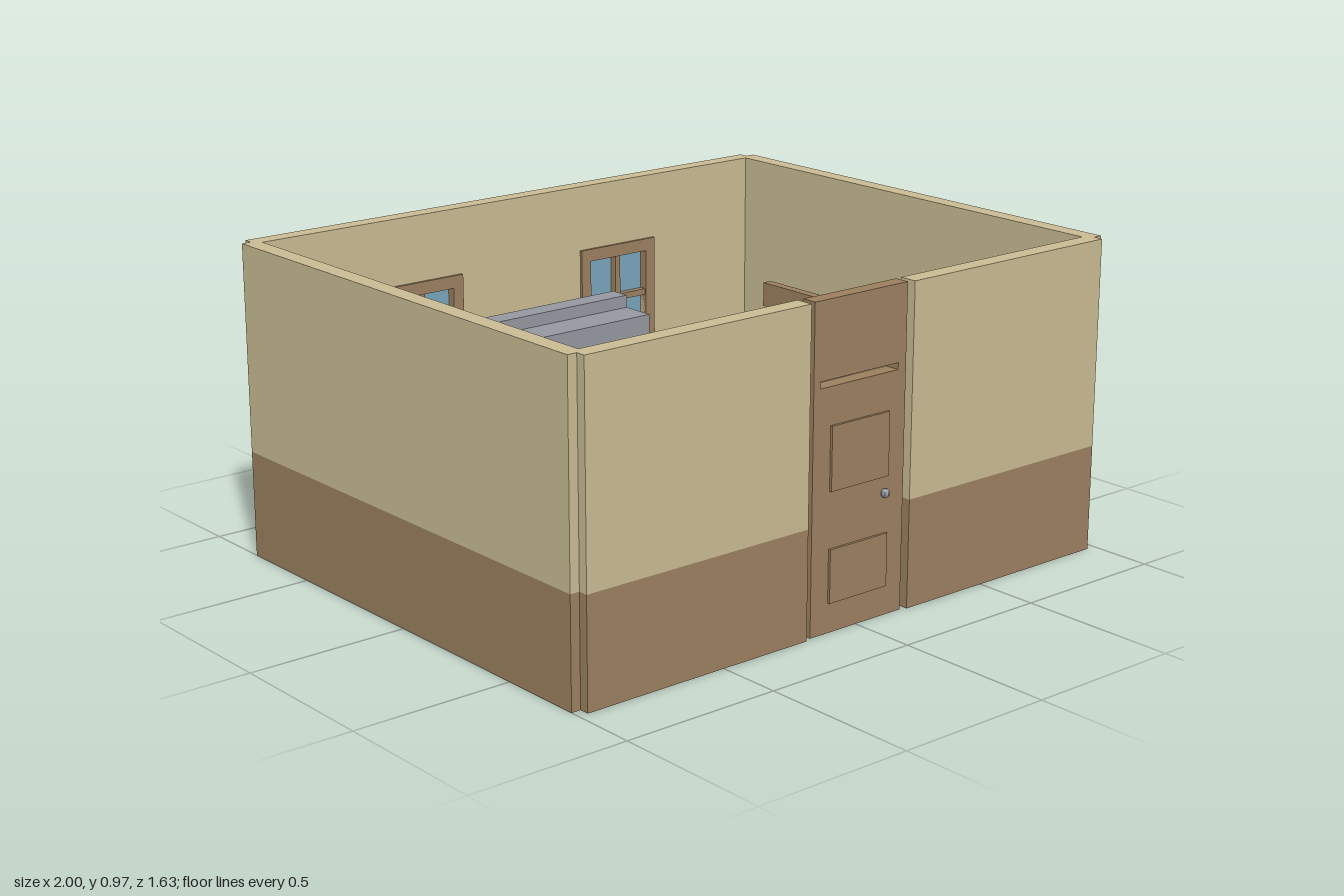
import * as THREE from 'three';

const mat = (name, color, flat = false) => {
  const m = new THREE.MeshStandardMaterial({ color, flatShading: flat });
  m.name = name;
  return m;
};

export function createModel() {
  const plaster = mat('plaster', 0xc8ba92);
  const wood = mat('wood', 0x9a7f5e);
  const stone = mat('stone', 0x94979f, true);
  const blue = mat('blue', 0x78a4bc);
  const root = new THREE.Group();

  const add = (parent, name, geo, material, x = 0, y = 0, z = 0) => {
    const m = new THREE.Mesh(geo, material);
    m.name = name;
    m.position.set(x, y, z);
    parent.add(m);
    return m;
  };
  // Box given by its limits on each axis
  const box = (parent, name, material, x0, x1, y0, y1, z0, z1) =>
    add(parent, name, new THREE.BoxGeometry(x1 - x0, y1 - y0, z1 - z0), material,
      (x0 + x1) / 2, (y0 + y1) / 2, (z0 + z1) / 2);
  const group = (name) => {
    const g = new THREE.Group();
    g.name = name;
    root.add(g);
    return g;
  };
  // Flat panel with rectangular holes, each rectangle as [x0, x1, y0, y1]
  const panel = (outer, holes, depth) => {
    const trace = (p, [x0, x1, y0, y1]) =>
      p.moveTo(x0, y0).lineTo(x1, y0).lineTo(x1, y1).lineTo(x0, y1).closePath();
    const s = new THREE.Shape();
    trace(s, outer);
    for (const h of holes) {
      const p = new THREE.Path();
      trace(p, h);
      s.holes.push(p);
    }
    return new THREE.ExtrudeGeometry(s, { depth, bevelEnabled: false });
  };

  const H = 0.97, SPLIT = 0.33;

  // Floor and walls with a wooden lower band
  const shell = group('walls');
  box(shell, 'floor', wood, -0.96, 0.96, 0, 0.006, -0.77, 0.75);
  const wall = (name, x0, x1, z0, z1) => {
    box(shell, name + 'Lower', wood, x0, x1, 0, SPLIT, z0, z1);
    box(shell, name + 'Upper', plaster, x0, x1, SPLIT, H, z0, z1);
  };
  for (const s of [-1, 1]) {
    const side = s > 0 ? 'left' : 'right';
    wall(side + 'Wall', Math.min(s, s * 0.945), Math.max(s, s * 0.945), -0.78, 0.77);
    wall(side + 'FrontWall', s > 0 ? 0.195 : -0.97, s > 0 ? 0.97 : -0.195, 0.744, 0.8);
  }
  const openings = [-0.387, 0.387].map((x) => [x - 0.115, x + 0.115, 0.44, 0.72]);
  box(shell, 'backWallLower', wood, -0.97, 0.97, 0, SPLIT, -0.81, -0.756);
  add(shell, 'backWallUpper', panel([-0.97, 0.97, SPLIT, H], openings, 0.054), plaster, 0, 0, -0.81);

  // Back windows with cross bars on the inside
  for (const [x0, x1, y0, y1] of openings) {
    const w = group('window');
    const xc = (x0 + x1) / 2, yc = (y0 + y1) / 2;
    add(w, 'windowFrame', panel([x0 - 0.037, x1 + 0.037, y0 - 0.04, y1 + 0.04],
      [[x0, x1, y0, y1]], 0.07), wood, 0, 0, -0.817);
    box(w, 'windowGlass', blue, x0, x1, y0, y1, -0.793, -0.775);
    box(w, 'windowBarUpright', wood, xc - 0.01, xc + 0.01, y0, y1, -0.775, -0.752);
    box(w, 'windowBarCross', wood, x0, x1, yc - 0.01, yc + 0.01, -0.775, -0.753);
  }

  // Door with a slot, raised panels and a knob
  const door = group('door');
  add(door, 'doorSlab', panel([-0.175, 0.175, 0, H], [[-0.15, 0.145, 0.722, 0.742]], 0.047),
    wood, 0, 0, 0.745);
  box(door, 'upperDoorPanel', wood, -0.11, 0.11, 0.42, 0.61, 0.79, 0.8);
  box(door, 'lowerDoorPanel', wood, -0.11, 0.11, 0.09, 0.25, 0.79, 0.8);
  add(door, 'doorKnob', new THREE.SphereGeometry(0.014, 8, 6), stone, 0.1, 0.37, 0.798);

  // Stone hearth
  const hearth = group('hearth');
  box(hearth, 'hearthBase', stone, -0.31, 0.305, 0.001, 0.04, -0.725, -0.395);
  box(hearth, 'hearthBed', stone, -0.225, 0.21, 0.04, 0.08, -0.62, -0.49);
  box(hearth, 'hearthBack', stone, -0.31, 0.305, 0.04, 0.52, -0.725, -0.62);
  box(hearth, 'hearthPillar', stone, -0.31, -0.225, 0.04, 0.52, -0.62, -0.41);
  box(hearth, 'hearthPillar', stone, 0.21, 0.305, 0.04, 0.52, -0.62, -0.41);
  box(hearth, 'mantel', stone, -0.31, 0.305, 0.52, 0.59, -0.725, -0.49);
  box(hearth, 'mantelTop', stone, -0.31, 0.305, 0.59, 0.63, -0.675, -0.605);
  add(hearth, 'coals', new THREE.ConeGeometry(0.13, 0.12, 6), stone, 0, 0.14, -0.62);

  // Water trough
  const trough = group('trough');
  box(trough, 'troughFloor', wood, -0.8, -0.33, 0.006, 0.03, -0.515, -0.325);
  for (const [z0, z1] of [[-0.515, -0.485], [-0.355, -0.325]])
    box(trough, 'troughSide', wood, -0.8, -0.33, 0.03, 0.2, z0, z1);
  for (const [x0, x1] of [[-0.8, -0.765], [-0.37, -0.33]])
    box(trough, 'troughEnd', wood, x0, x1, 0.03, 0.2, -0.485, -0.355);
  box(trough, 'water', blue, -0.765, -0.37, 0.03, 0.185, -0.485, -0.355);

  // Anvil on a six-sided stump
  const anvil = group('anvil');
  add(anvil, 'stump', new THREE.CylinderGeometry(0.084, 0.084, 0.2, 6), wood, -0.313, 0.105, -0.147);
  box(anvil, 'anvilNeck', stone, -0.36, -0.265, 0.2, 0.27, -0.175, -0.12);
  box(anvil, 'anvilBody', stone, -0.41, -0.215, 0.27, 0.34, -0.19, -0.1);
  const horn = add(anvil, 'anvilHorn', new THREE.ConeGeometry(0.035, 0.11, 6), stone, -0.157, 0.305, -0.147);
  horn.rotation.z = Math.PI / 2;

  // Crate with a pointed post
  const crate = group('crate');
  box(crate, 'crateBody', wood, 0.21, 0.45, 0.006, 0.3, -0.15, 0.012);
  const post = add(crate, 'post', new THREE.ConeGeometry(0.075, 0.34, 4), wood, 0.37, 0.47, -0.07);
  post.rotation.y = Math.PI / 4;

  // Loose stones
  const rocks = group('stones');
  for (const [x, z, r] of [[0.385, -0.155, 0.075], [0.535, -0.185, 0.066], [0.485, -0.075, 0.042]])
    add(rocks, 'rock', new THREE.SphereGeometry(r, 8, 5), stone, x, r, z);
  for (const i of [0, 1, 2])
    box(rocks, 'stoneSlab', stone, 0.447, 0.53, 0.006, 0.07 - i * 0.02, -0.05, -0.03 + i * 0.02);

  // Tool rack on the side wall
  const rack = group('toolRack');
  box(rack, 'rackBoard', wood, 0.882, 0.915, 0.5, 0.58, -0.59, -0.125);
  for (const z of [-0.52, -0.355, -0.195])
    box(rack, 'rackPeg', stone, 0.915, 0.945, 0.525, 0.555, z - 0.014, z + 0.014);

  return root;
}
